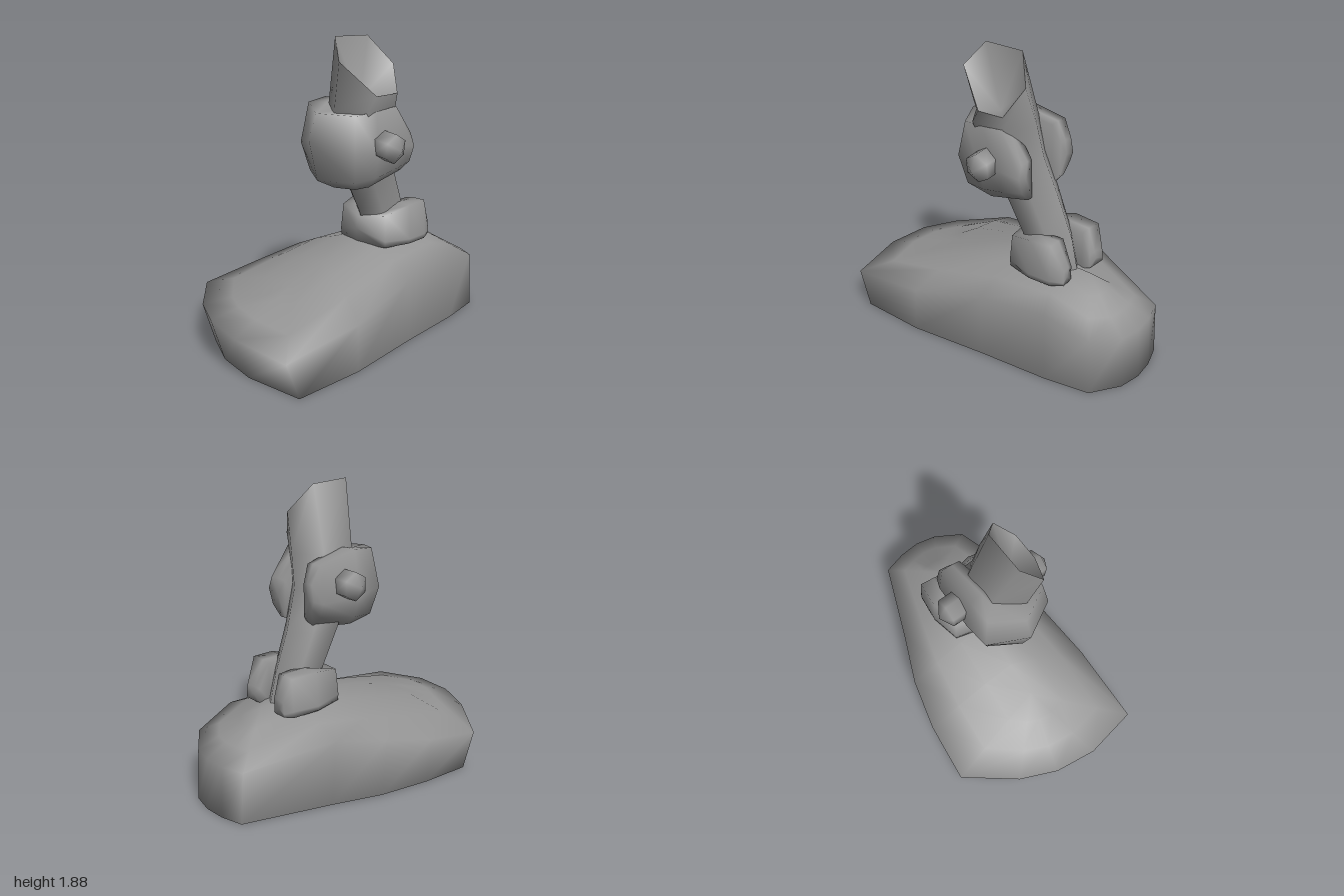
import * as THREE from 'three';
import { mergeVertices } from 'three/addons/utils/BufferGeometryUtils.js';

const { lerp } = THREE.MathUtils;

// Skins a stack of equal rings of [x, y, z] points and closes the ends.
// creased keeps the end edges sharp; endTip overrides the centre of the last
// end; closeEnd is false when the last ring already folds shut.
function loft(name, rings, { creased = false, endTip = null, closeEnd = true } = {}) {
  const n = rings[0].length;
  const pos = rings.flat(2);
  const index = [];
  rings.slice(1).forEach((_, r) => {
    for (let i = 0; i < n; i++) {
      const a = r * n + i, b = r * n + (i + 1) % n;
      index.push(a, b, a + n, b, b + n, a + n);
    }
  });
  const cap = (r, flip, tip) => {
    const ring = rings[r];
    let base = r * n;
    if (creased) {
      base = pos.length / 3;
      pos.push(...ring.flat());
    }
    const c = pos.length / 3;
    pos.push(...(tip || [0, 1, 2].map(k => ring.reduce((s, p) => s + p[k], 0) / n)));
    for (let i = 0; i < n; i++) {
      const a = base + i, b = base + (i + 1) % n;
      index.push(...(flip ? [b, a, c] : [a, b, c]));
    }
  };
  cap(0, true, null);
  if (closeEnd) cap(rings.length - 1, false, endTip);

  // Turn the faces outward when the rings ran the other way round
  const v = i => new THREE.Vector3().fromArray(pos, i * 3);
  let volume = 0;
  for (let i = 0; i < index.length; i += 3) {
    volume += v(index[i]).dot(v(index[i + 1]).cross(v(index[i + 2])));
  }
  if (volume < 0) index.reverse();

  let geo = new THREE.BufferGeometry();
  geo.setAttribute('position', new THREE.Float32BufferAttribute(pos, 3));
  geo.setIndex(index);
  if (!creased) geo = mergeVertices(geo);
  geo.computeVertexNormals();
  return mesh(name, geo);
}

function mesh(name, geo) {
  const m = new THREE.Mesh(geo, new THREE.MeshStandardMaterial({ color: 0x959595 }));
  m.name = name;
  return m;
}

// Wide, lopsided base: floor, rim, shoulder, folding shut along a ridge
function makeBase() {
  const ridge = [[0.1, 0.56, -0.6], [0.1, 0.567, -0.4], [0.1, 0.56, -0.1], [0.1, 0.49, 0.22], [0.1, 0.42, 0.45]];
  const rim = [ // x, height, z, ridge point it rises to
    [-0.15, 0.33, -0.93, 0], [0, 0.33, -0.97, 0], [0.14, 0.33, -0.98, 0], [0.28, 0.33, -0.95, 0],
    [0.45, 0.36, -0.83, 0], [0.5, 0.45, -0.55, 1], [0.54, 0.41, -0.1, 2], [0.6, 0.29, 0.4, 3],
    [0.59, 0.23, 0.94, 4], [0.22, 0.27, 1, 4], [-0.06, 0.28, 0.96, 4], [-0.3, 0.27, 0.85, 4],
    [-0.61, 0.25, 0.6, 4], [-0.57, 0.31, 0.22, 3], [-0.49, 0.38, -0.1, 2], [-0.36, 0.43, -0.4, 1],
  ];
  const floor = inset => rim.map(([x, , z]) => [
    lerp(x < 0 ? x * 0.95 : x * 1.015, 0.1, inset), 0,
    lerp(z > 0.5 ? z * 0.91 : z * 1.02, 0, inset),
  ]);
  // Sides bulge on the way up, the front and back slopes stay straight
  const inward = t => rim.map(([x, y, z, k]) => {
    const [rx, ry, rz] = ridge[k];
    const rise = Math.abs(z) > 0.8 ? t : Math.sin(t * Math.PI / 2);
    return [lerp(x, rx, t), lerp(y, ry, rise), lerp(z, rz, t)];
  });
  return loft('base', [floor(0.25), floor(0), ...[0, 0.33, 0.67, 1].map(inward)], { closeEnd: false });
}

// Leaning six-sided post with a slanted, hollowed top
function makePost() {
  const hexRing = ([y, zf, zb, xl, xr]) => Array.from({ length: 6 }, (_, i) => {
    const a = (i + 0.5) * Math.PI / 3;
    return [
      (xl + xr) / 2 + Math.cos(a) / 0.866 * (xr - xl) / 2,
      y,
      (zf + zb) / 2 + Math.sin(a) * (zf - zb) / 2,
    ];
  });
  const rings = [ // y, front z, back z, low x, high x
    [0.5, -0.2, -0.53, 0, 0.23],
    [0.75, -0.1, -0.47, -0.01, 0.23],
    [1, 0.03, -0.37, -0.02, 0.25],
    [1.25, 0.15, -0.28, -0.01, 0.3],
    [1.46, 0.2, -0.26, 0.02, 0.36],
  ].map(hexRing);
  rings.push([
    [0.37, 1.54, 0.03], [0.26, 1.75, 0.23], [0.145, 1.88, 0.15],
    [0.145, 1.87, -0.12], [0.26, 1.7, -0.23], [0.37, 1.54, -0.15],
  ]);
  return loft('post', rings, { creased: true, endTip: [0.2, 1.5, 0] });
}

// Horseshoe, open at the back; stations run from the right end round the front
// Each is outer x, outer z, inner x, inner z, bottom, bulge height, top
function makeHorseshoe(name, stations, outerRise, bottomInset, topInset) {
  return loft(name, stations.map(([xo, zo, xi, zi, yb, ym, yt]) => {
    const at = (t, y) => [lerp(xo, xi, t), y, lerp(zo, zi, t)];
    return [
      at(bottomInset, yb + outerRise), at(0, ym), at(topInset, yt),
      at(0.65, yt), at(1, yt - 0.01), at(1, yb), at(0.7, yb),
    ];
  }));
}

export function createModel() {
  const model = new THREE.Group();
  model.add(makeBase(), makePost());

  model.add(makeHorseshoe('lowerCollar', [
    [-0.09, -0.57, 0.03, -0.55, 0.54, 0.57, 0.64],
    [-0.12, -0.52, 0.04, -0.5, 0.53, 0.58, 0.785],
    [-0.14, -0.34, 0.04, -0.34, 0.53, 0.57, 0.79],
    [-0.1, -0.14, 0.05, -0.27, 0.53, 0.58, 0.75],
    [0.1, -0.08, 0.11, -0.25, 0.53, 0.64, 0.72],
    [0.3, -0.14, 0.17, -0.27, 0.53, 0.58, 0.75],
    [0.35, -0.32, 0.19, -0.33, 0.53, 0.57, 0.795],
    [0.345, -0.47, 0.19, -0.46, 0.53, 0.57, 0.8],
    [0.31, -0.55, 0.2, -0.53, 0.54, 0.57, 0.64],
  ], 0.01, 0.02, 0.08));

  model.add(makeHorseshoe('upperCollar', [
    [-0.09, -0.325, 0.02, -0.31, 1.1, 1.22, 1.32],
    [-0.11, -0.27, 0.04, -0.26, 1.04, 1.2, 1.43],
    [-0.12, 0.02, 0.07, 0, 0.98, 1.19, 1.485],
    [-0.11, 0.2, 0.08, 0.03, 0.97, 1.22, 1.47],
    [0.12, 0.34, 0.13, 0.05, 0.96, 1.29, 1.44],
    [0.365, 0.2, 0.2, 0.03, 0.96, 1.22, 1.435],
    [0.385, 0.02, 0.25, 0, 0.97, 1.2, 1.445],
    [0.405, -0.14, 0.24, -0.14, 1, 1.22, 1.46],
    [0.395, -0.285, 0.25, -0.27, 1.03, 1.2, 1.28],
  ], 0.07, 0.22, 0.2));

  // Six-sided knobs with their poles pointing sideways
  for (const [name, x, y, z, tilt] of [
    ['rightKnob', -0.14, 1.29, -0.08, 0],
    ['leftKnob', 0.415, 1.235, -0.035, -0.12],
  ]) {
    const knob = mesh(name, new THREE.SphereGeometry(0.105, 6, 3).rotateZ(Math.PI / 2 + tilt));
    knob.position.set(x, y, z);
    model.add(knob);
  }
  return model;
}
